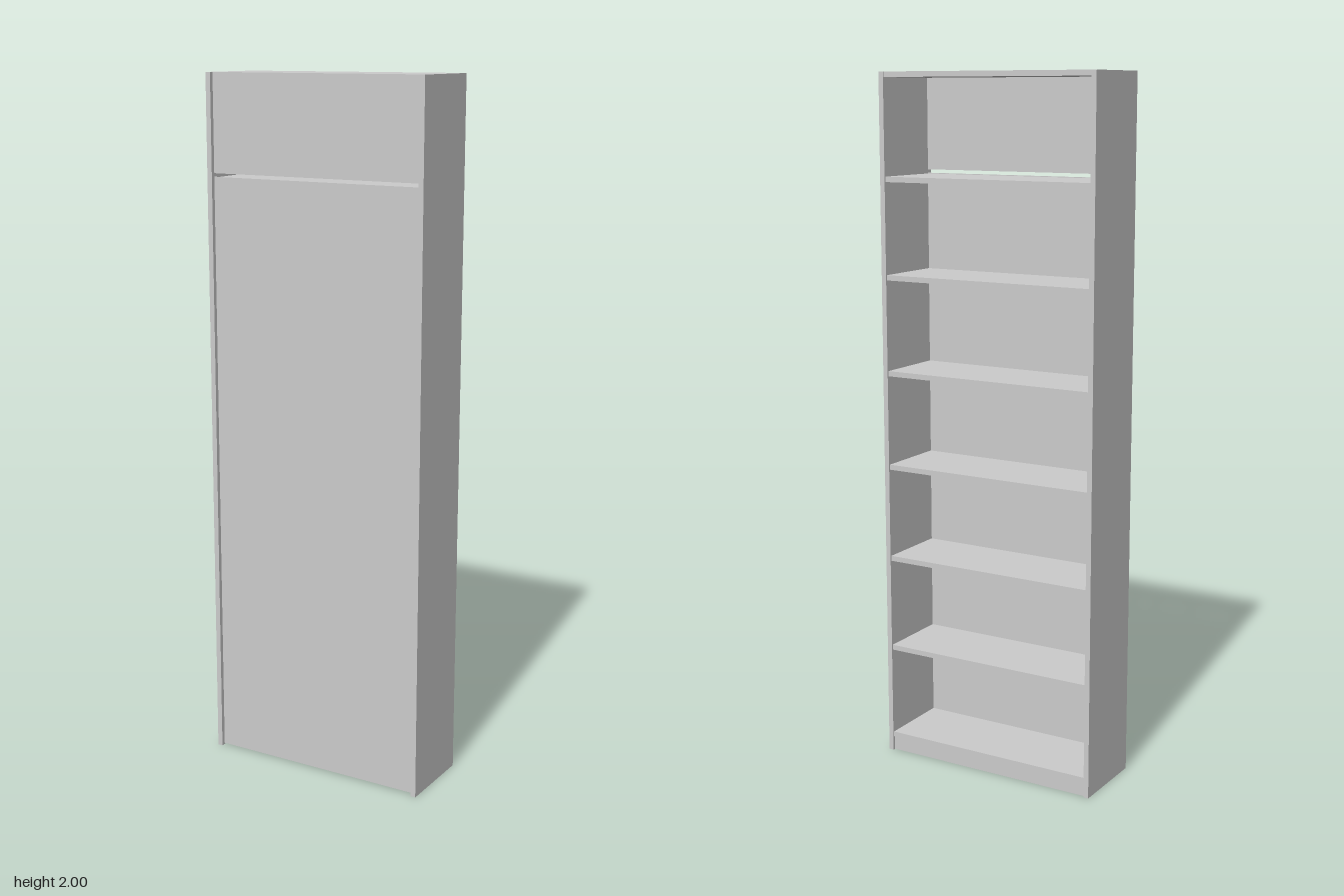
import * as THREE from 'three';

export function createModel() {
  const group = new THREE.Group();
  const material = new THREE.MeshStandardMaterial({ color: 0xcccccc });

  // Box given by its extents on each axis
  function board(name, [x0, x1], [y0, y1], [z0, z1]) {
    const mesh = new THREE.Mesh(new THREE.BoxGeometry(x1 - x0, y1 - y0, z1 - z0), material);
    mesh.name = name;
    mesh.position.set((x0 + x1) / 2, (y0 + y1) / 2, (z0 + z1) / 2);
    group.add(mesh);
  }

  const outer = 0.339, inner = 0.324, thick = 0.015;
  const width = [-inner, inner];
  const openZ = -0.115, panelBack = 0.102, panelFront = 0.107;

  // Full-height side boards
  board('leftSide', [inner, outer], [0, 2], [-0.119, 0.119]);
  board('rightSide', [-outer, -inner], [0, 2], [-0.119, 0.119]);

  // Top board
  board('topBoard', width, [2 - thick, 2], [openZ, panelBack]);

  // Seven evenly spaced shelves
  const lowest = 0.057, highest = 1.713, count = 7;
  for (let i = 0; i < count; i++) {
    const y = lowest + ((highest - lowest) * i) / (count - 1);
    board('shelf' + (i + 1), width, [y - thick, y], [openZ, panelBack]);
  }

  // Plinth under the lowest shelf on the open side
  board('plinth', width, [0, lowest - thick], [openZ + 0.004, openZ + 0.004 + thick]);

  // Closing panels, separated by a narrow slot
  board('lowerPanel', width, [0.004, 1.715], [panelBack, panelFront]);
  board('upperPanel', width, [1.725, 2], [panelBack, panelFront]);

  return group;
}
